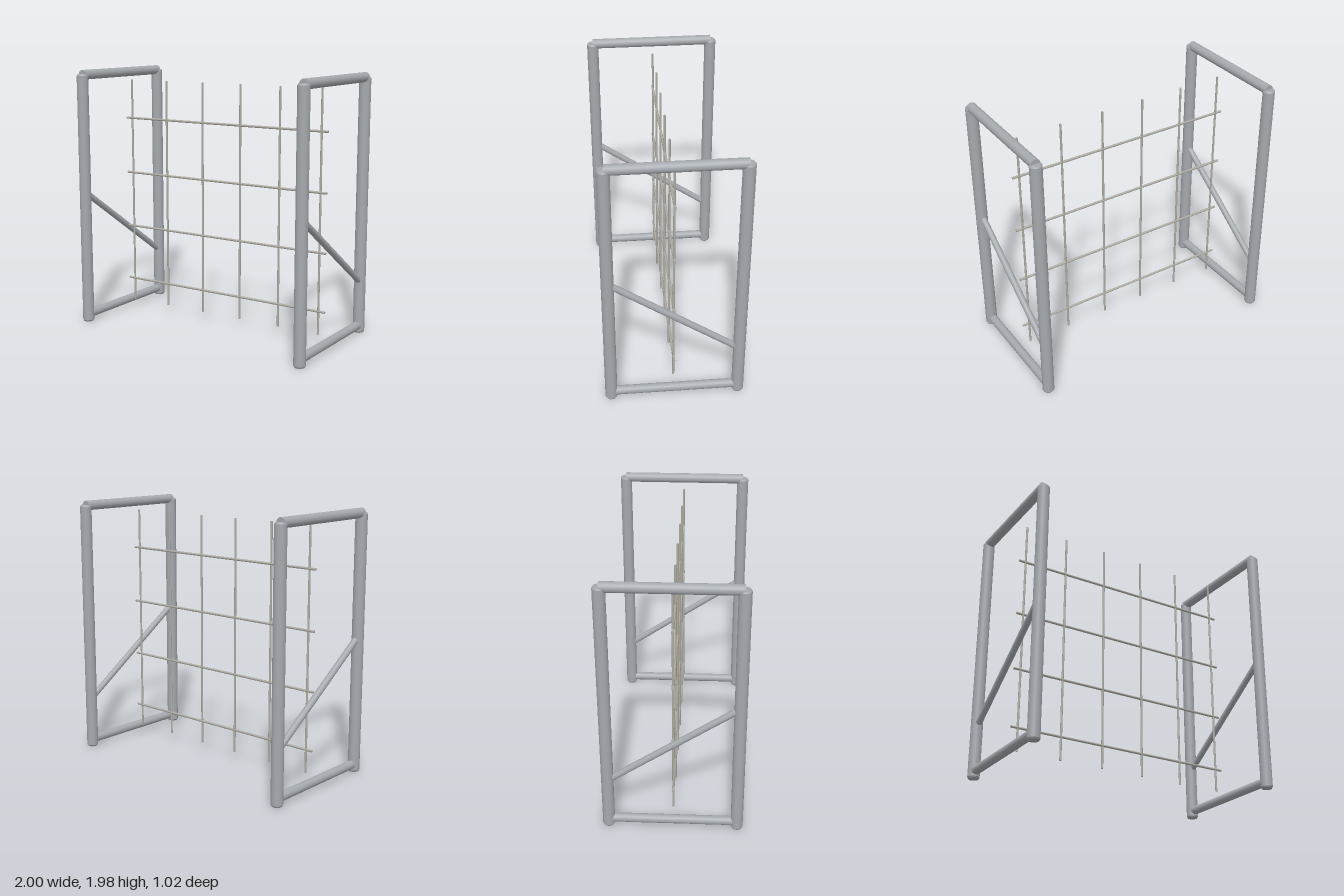
import * as THREE from 'three';

const steel = new THREE.MeshStandardMaterial({ color: 0xa4a9ae });
const wire = new THREE.MeshStandardMaterial({ color: 0xaeaca2 });

// Round bar running from point a to point b
function bar(name, a, b, radius, material, sides = 24) {
  const from = new THREE.Vector3(...a);
  const dir = new THREE.Vector3(...b).sub(from);
  const mesh = new THREE.Mesh(new THREE.CylinderGeometry(radius, radius, dir.length(), sides), material);
  mesh.position.copy(from).addScaledVector(dir, 0.5);
  mesh.quaternion.setFromUnitVectors(new THREE.Vector3(0, 1, 0), dir.normalize());
  mesh.name = name;
  return mesh;
}

// Upright with small chamfers at both ends
function post(name, x, z) {
  const r = 0.044, h = 1.945, c = 0.012;
  const body = new THREE.CylinderGeometry(r, r, h - 2 * c, 32, 1, true);
  const cap = new THREE.CylinderGeometry(r - c * 0.6, r, c, 32);
  const group = new THREE.Group();
  group.name = name;
  const shaft = new THREE.Mesh(body, steel);
  shaft.name = 'postShaft';
  shaft.position.y = h / 2;
  const top = new THREE.Mesh(cap, steel);
  top.name = 'postTop';
  top.position.y = h - c / 2;
  const foot = new THREE.Mesh(cap, steel);
  foot.name = 'postFoot';
  foot.position.y = c / 2;
  foot.rotation.x = Math.PI;
  group.add(shaft, top, foot);
  group.position.set(x, 0, z);
  return group;
}

// Side frame: two posts, top and bottom rails, sloping brace
function sideFrame(name, x) {
  const frame = new THREE.Group();
  frame.name = name;
  const z = 0.465;
  frame.add(
    post('frontPost', x, z),
    post('backPost', x, -z),
    bar('topRail', [x, 1.94, z], [x, 1.94, -z], 0.037, steel),
    bar('bottomRail', [x, 0.055, z], [x, 0.055, -z], 0.033, steel),
    bar('diagonalBrace', [x, 1.035, z], [x, 0.395, -z], 0.024, steel)
  );
  return frame;
}

export function createModel() {
  const model = new THREE.Group();
  model.name = 'rack';
  model.add(sideFrame('leftFrame', 0.956), sideFrame('rightFrame', -0.956));

  // Wire grid across the middle
  const grid = new THREE.Group();
  grid.name = 'wireGrid';
  for (let i = 0; i < 6; i++) {
    const x = -0.85 + i * 0.34;
    grid.add(bar('verticalWire', [x, 0.085, 0], [x, 1.885, 0], 0.008, wire, 12));
  }
  for (let i = 0; i < 4; i++) {
    const y = 0.26 + i * 0.44;
    grid.add(bar('horizontalWire', [-0.903, y, 0], [0.903, y, 0], 0.009, wire, 12));
  }
  model.add(grid);
  return model;
}
